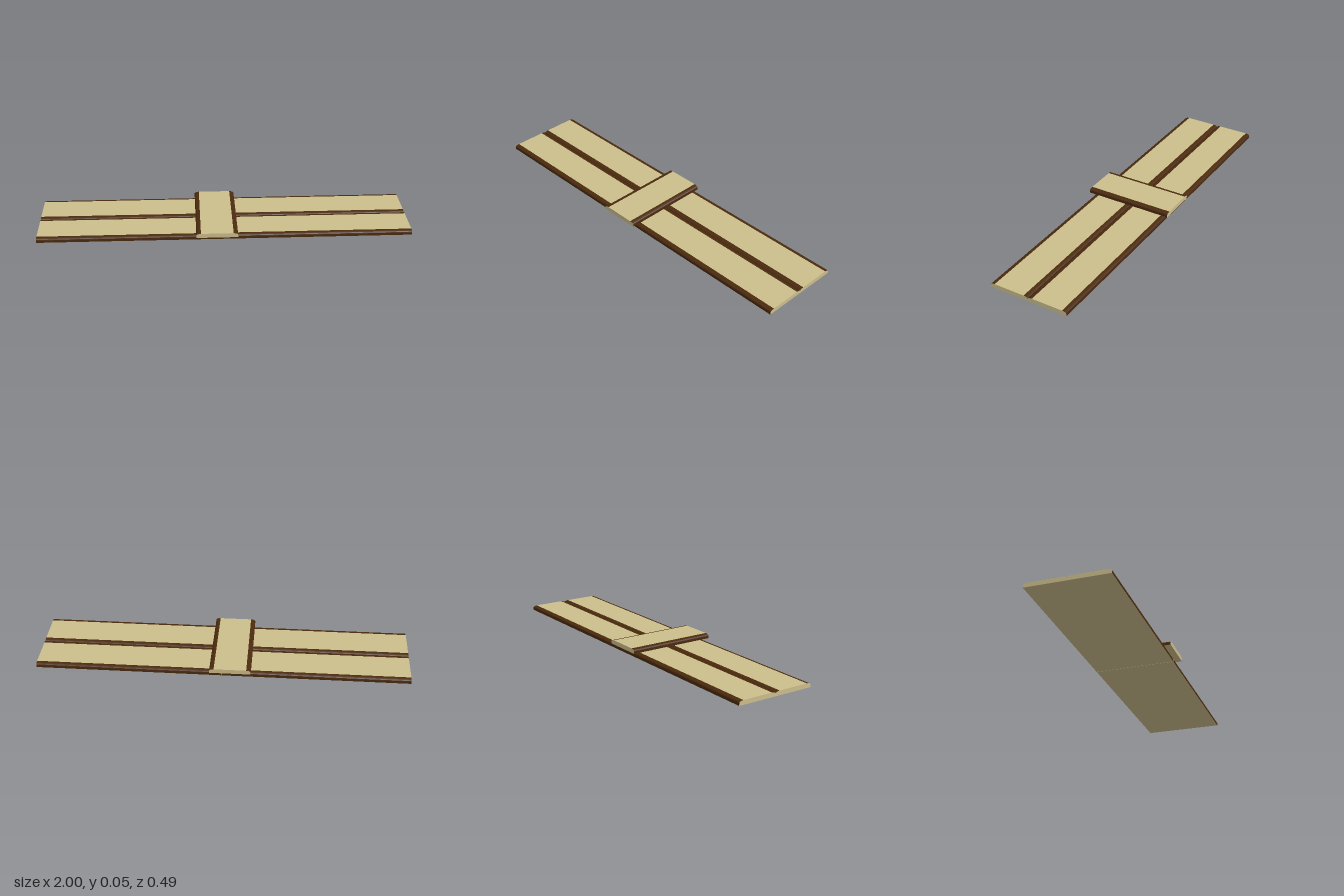
import * as THREE from 'three';

const WIDTH = 0.221, HEIGHT = 0.024;

// Plank section: flat bottom, short upright sides, softly rounded upper edges
function plankGeometry(length) {
  const half = WIDTH / 2, wall = 0.014, inset = 0.024, steps = 5;
  const side = [];
  for (let i = 0; i <= steps; i++) {
    const a = (i / steps) * Math.PI / 2;
    side.push([half - inset + inset * Math.cos(a), wall + (HEIGHT - wall) * Math.sin(a)]);
  }
  const points = [
    [-half, 0], [half, 0],
    ...side,
    ...side.map(([x, y]) => [-x, y]).reverse(),
  ].map(([x, y]) => new THREE.Vector2(x, y));
  const geometry = new THREE.ExtrudeGeometry(new THREE.Shape(points), { depth: length, bevelEnabled: false });
  geometry.translate(0, 0, -length / 2);

  // Face, underside and cut ends use material 0; the long edges use material 1
  const normal = geometry.attributes.normal;
  geometry.clearGroups();
  for (let i = 0; i < normal.count; i += 3) {
    const flat = Math.abs(normal.getY(i)) > 0.9995 || Math.abs(normal.getZ(i)) > 0.9;
    const material = flat ? 0 : 1;
    const last = geometry.groups[geometry.groups.length - 1];
    if (last && last.materialIndex === material) last.count += 3;
    else geometry.addGroup(i, 3, material);
  }
  return geometry;
}

export function createModel() {
  const model = new THREE.Group();
  model.name = 'plankPanel';

  const paleWood = new THREE.MeshStandardMaterial({ color: 0xcbbd8b });
  paleWood.name = 'paleWood';
  const darkEdge = new THREE.MeshStandardMaterial({ color: 0x4a2a0d });
  darkEdge.name = 'darkEdge';
  const materials = [paleWood, darkEdge];

  // Two rows of boards, each made of two lengths butted in the middle
  const board = plankGeometry(0.999);
  for (const [row, z] of [['front', 0.1035], ['back', -0.1175]]) {
    for (const [end, x] of [['Left', 0.5005], ['Right', -0.5005]]) {
      const mesh = new THREE.Mesh(board, materials);
      mesh.name = row + end + 'Board';
      mesh.rotation.y = Math.PI / 2;
      mesh.position.set(x, 0, z);
      model.add(mesh);
    }
  }

  // Cross batten resting over the joint
  const batten = new THREE.Mesh(plankGeometry(0.49), materials);
  batten.name = 'crossBatten';
  batten.position.set(-0.044, 0.026, 0);
  model.add(batten);

  return model;
}
